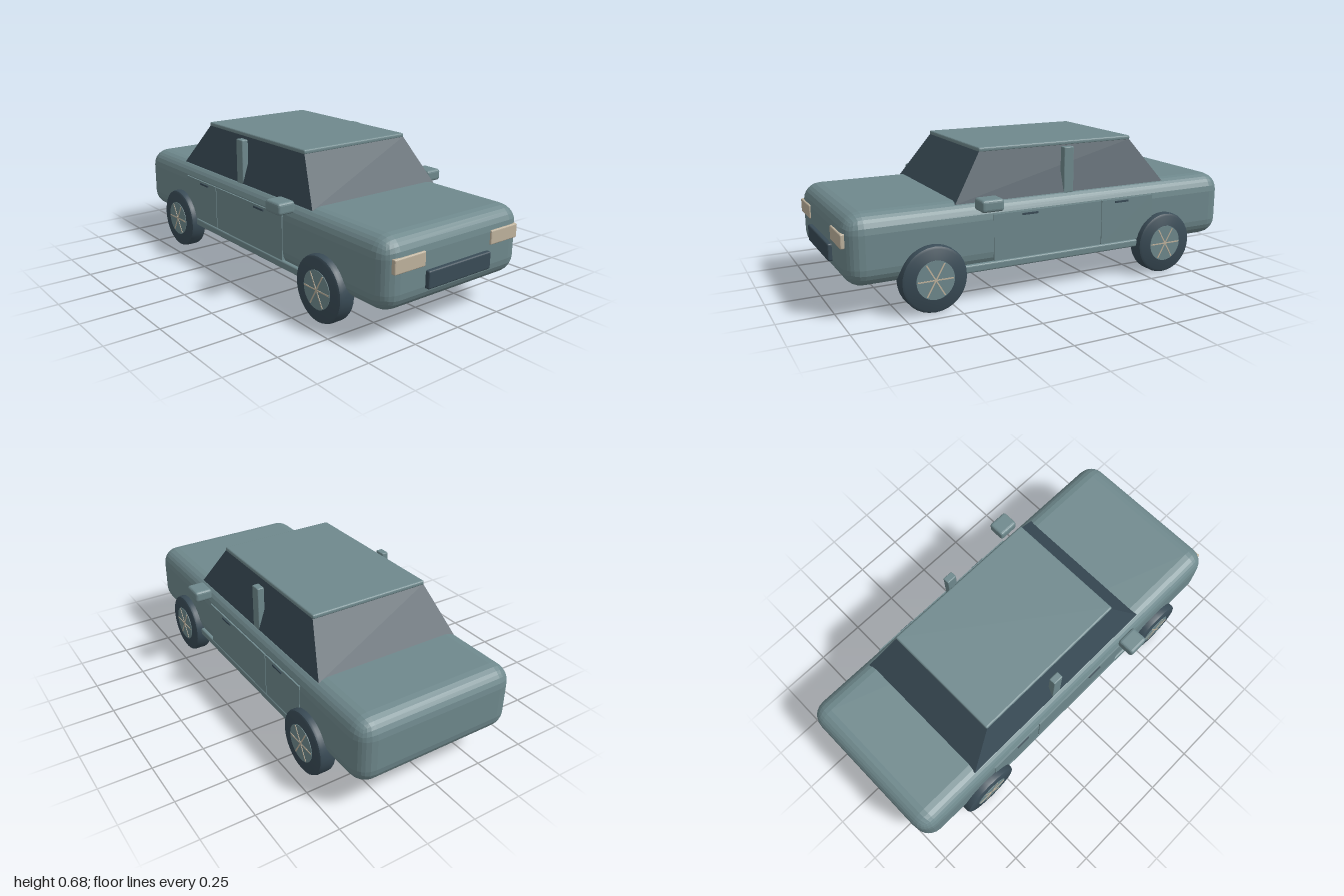
import * as THREE from 'three';
import { RoundedBoxGeometry } from 'three/addons/geometries/RoundedBoxGeometry.js';
import { toCreasedNormals } from 'three/addons/utils/BufferGeometryUtils.js';

const paint = (name, color) => {
  const m = new THREE.MeshStandardMaterial({ color });
  m.name = name;
  return m;
};

export function createModel() {
  const car = new THREE.Group();
  car.name = 'car';
  const body = paint('bodyPaint', 0x6f898d);
  const dark = paint('darkGlassAndRubber', 0x3a4c57);
  const cream = paint('creamTrim', 0xbfb39e);

  const add = (name, geometry, material, parent = car) => {
    const mesh = new THREE.Mesh(geometry, material);
    mesh.name = name;
    parent.add(mesh);
    return mesh;
  };
  // Box given by its limits on each axis, with optional rounded edges
  const block = (name, [x0, x1], [y0, y1], [z0, z1], material, radius = 0, segments = 2) => {
    const size = [x1 - x0, y1 - y0, z1 - z0];
    const g = radius ? new RoundedBoxGeometry(...size, segments, radius) : new THREE.BoxGeometry(...size);
    if (radius) g.computeVertexNormals(); // faceted edges
    g.translate((x0 + x1) / 2, (y0 + y1) / 2, (z0 + z1) / 2);
    return add(name, g, material);
  };
  // Same block on both sides
  const pair = (name, x, y, z, material, radius) => {
    block(name + 'Left', x, y, z, material, radius);
    block(name + 'Right', [-x[1], -x[0]], y, z, material, radius);
  };

  // Main body
  block('body', [-0.41, 0.41], [0.145, 0.465], [-1, 0.98], body, 0.085, 3);

  // Glass cabin, tapering to the roof
  const cabin = new THREE.BoxGeometry(1, 1, 1);
  const p = cabin.attributes.position;
  for (let i = 0; i < p.count; i++) {
    const top = p.getY(i) > 0;
    const front = p.getZ(i) > 0;
    p.setXYZ(i, Math.sign(p.getX(i)) * (top ? 0.3 : 0.37), top ? 0.667 : 0.455,
      front ? (top ? 0.33 : 0.478) : (top ? -0.48 : -0.638));
  }
  cabin.computeVertexNormals();
  add('cabinGlass', cabin, dark);
  block('roof', [-0.302, 0.302], [0.663, 0.685], [-0.485, 0.332], body, 0.008);

  // Pillars, mirrors, sills
  pair('doorPillar', [0.335, 0.37], [0.45, 0.667], [-0.123, -0.07], body, 0.005);
  pair('mirror', [0.405, 0.495], [0.434, 0.49], [0.298, 0.405], body, 0.014);
  pair('sill', [0.385, 0.415], [0.148, 0.184], [-0.5, 0.48], body, 0.008);

  // Door panels and handles
  pair('frontDoor', [0.39, 0.414], [0.188, 0.402], [-0.252, 0.312], body);
  pair('rearDoor', [0.39, 0.414], [0.188, 0.402], [-0.55, -0.257], body);
  pair('frontHandle', [0.41, 0.419], [0.384, 0.393], [0.09, 0.17], dark);
  pair('rearHandle', [0.41, 0.419], [0.384, 0.393], [-0.405, -0.33], dark);

  // Front lights and grille
  pair('headlight', [0.195, 0.365], [0.321, 0.386], [0.945, 0.988], cream, 0.006);
  block('grille', [-0.187, 0.187], [0.22, 0.3], [0.95, 1], dark, 0.008);

  // Wheels: rounded tyre, hub disc and six thin spokes
  const tyre = toCreasedNormals(new THREE.LatheGeometry([
    [0, -0.0425], [0.138, -0.0425], [0.148, -0.037], [0.152, -0.027],
    [0.152, 0.027], [0.148, 0.037], [0.138, 0.0425], [0, 0.0425],
  ].map(([r, y]) => new THREE.Vector2(r, y)), 32).rotateZ(-Math.PI / 2), 0.6);
  const hub = new THREE.CylinderGeometry(0.088, 0.088, 0.006, 32).rotateZ(-Math.PI / 2);
  const spoke = new THREE.BoxGeometry(0.006, 0.006, 0.166);
  for (const [end, z] of [['front', 0.605], ['rear', -0.615]]) {
    for (const side of [1, -1]) {
      const wheel = new THREE.Group();
      wheel.name = end + (side > 0 ? 'LeftWheel' : 'RightWheel');
      wheel.position.set(side * 0.402, 0.154, z);
      if (side < 0) wheel.rotation.y = Math.PI;
      add('tyre', tyre, dark, wheel);
      add('hub', hub, body, wheel).position.x = 0.042;
      for (let i = 0; i < 3; i++) {
        const s = add('spoke', spoke, cream, wheel);
        s.position.x = 0.044;
        s.rotation.x = i * Math.PI / 3;
      }
      car.add(wheel);
    }
  }
  return car;
}
